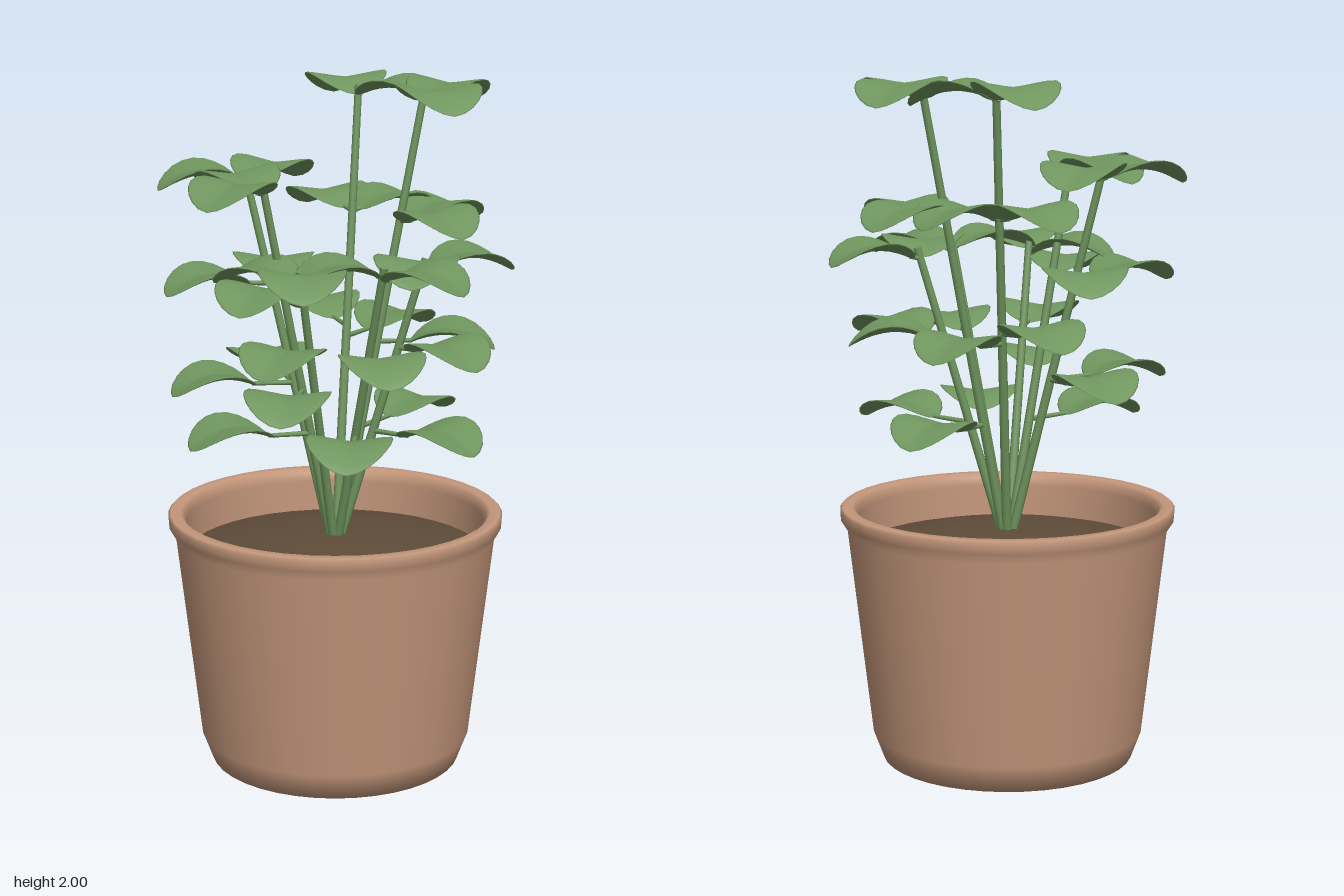
import * as THREE from 'three';

const material = (name, color) => {
  const m = new THREE.MeshStandardMaterial({ color });
  m.name = name;
  return m;
};
const clay = material('terracotta', 0xc4977b);
const earth = material('soil brown', 0x5f4c39);
const green = material('leaf green', 0x6f955e);

function lathe(name, points, mat) {
  const geo = new THREE.LatheGeometry(points.map(([r, y]) => new THREE.Vector2(r, y)), 40);
  const mesh = new THREE.Mesh(geo, mat);
  mesh.name = name;
  return mesh;
}

// Tapered round rod between two points
function rod(name, a, b, r0, r1) {
  const dir = b.clone().sub(a);
  const mesh = new THREE.Mesh(new THREE.CylinderGeometry(r1, r0, dir.length(), 8), green);
  mesh.position.copy(a).add(b).multiplyScalar(0.5);
  mesh.quaternion.setFromUnitVectors(new THREE.Vector3(0, 1, 0), dir.normalize());
  mesh.name = name;
  return mesh;
}

// Saddle-shaped leaf: arched from base to tip, sides lifted from the midrib
const HALF = 0.125;
const leafRise = (u, v) => 0.042 * (1 - v * v) + 0.024 * Math.abs(u) ** 1.3 - 0.008 * (v + 1);
function leafGeometry() {
  const geo = new THREE.SphereGeometry(1, 24, 14);
  const p = geo.attributes.position;
  for (let i = 0; i < p.count; i++) {
    const u = p.getX(i), v = p.getZ(i);
    p.setXYZ(i, u * 0.122, p.getY(i) * 0.008 + leafRise(u, v), v * HALF);
  }
  geo.computeVertexNormals();
  return geo;
}

// Each stem: tip position, then leaves as [node height, centre x, centre z]
const STEMS = [
  { tip: [0.025, 1.97, -0.28], leaves: [
    [1.94, -0.03, -0.39], [1.94, 0.145, -0.24], [1.61, -0.08, -0.34], [1.61, 0.13, -0.3],
    [1.28, -0.1, -0.33], [1.25, 0.13, -0.33]] },
  { tip: [0.235, 1.97, -0.15], leaves: [
    [1.94, 0.29, -0.265], [1.94, 0.29, -0.03], [1.6, 0.29, 0.01], [1.6, 0.28, -0.23],
    [1.25, 0.33, -0.08], [1.0, 0.2, -0.27]] },
  { tip: [-0.27, 1.73, -0.055], leaves: [
    [1.71, -0.39, 0], [1.71, -0.215, -0.18], [1.42, -0.22, -0.22], [1.42, -0.36, 0.07],
    [1.13, -0.25, -0.25], [1.13, -0.34, 0.09]] },
  { tip: [-0.18, 1.74, 0.165], leaves: [
    [1.71, -0.27, 0.065], [1.71, -0.235, 0.3], [1.42, -0.17, 0.28],
    [1.13, -0.08, 0.34], [1.0, -0.27, 0.19]] },
  { tip: [-0.06, 1.51, 0.25], leaves: [
    [1.48, -0.03, 0.385], [1.47, -0.19, 0.2], [1.26, -0.09, 0.35]] },
  { tip: [0.17, 1.52, 0.21], leaves: [
    [1.48, 0.29, 0.26], [1.49, 0.045, 0.26], [1.24, 0.18, 0.32], [1.0, 0.09, 0.32]] },
  { tip: [0.26, 1.51, 0], leaves: [
    [1.48, 0.385, -0.065], [1.48, 0.25, 0.12], [1.25, 0.34, 0.14], [1.0, 0.32, 0.13]] },
];

export function createModel() {
  const model = new THREE.Group();
  model.name = 'pottedPlant';

  // Pot with chamfered foot, rounded rim and hollow inside
  model.add(lathe('pot', [
    [0, 0], [0.37, 0], [0.4, 0.08], [0.47, 0.69], [0.489, 0.72],
    [0.491, 0.75], [0.484, 0.757], [0.455, 0.757], [0.443, 0.745], [0.44, 0.72],
    [0.44, 0.59],
  ], clay));

  // Slightly mounded soil
  const mound = [];
  for (let i = 0; i <= 6; i++) {
    const t = 1 - i / 6;
    mound.push([0.442 * t, 0.625 + 0.06 * (1 - t * t)]);
  }
  model.add(lathe('soil', mound, earth));

  // Stems fan out from the middle, each carrying its leaves
  const leafGeo = leafGeometry();
  STEMS.forEach(({ tip, leaves }, i) => {
    const branch = new THREE.Group();
    branch.name = 'branch' + (i + 1);
    const angle = Math.atan2(tip[0], tip[2]);
    const root = new THREE.Vector3(0.012 * Math.sin(angle), 0.66, 0.012 * Math.cos(angle));
    const end = new THREE.Vector3(...tip);
    branch.add(rod('stem', root, end, 0.014, 0.011));

    for (const [y, x, z] of leaves) {
      const node = root.clone().lerp(end, (y - root.y) / (end.y - root.y));
      const dx = x - node.x, dz = z - node.z, dist = Math.hypot(dx, dz);
      const leaf = new THREE.Mesh(leafGeo, green);
      leaf.position.set(x, y, z);
      leaf.rotation.y = Math.atan2(dx, dz);
      leaf.name = 'leaf';
      branch.add(leaf);

      // Short stalk where the leaf stands clear of the stem
      if (dist > HALF) {
        const k = (dist - HALF * 0.92) / dist;
        const joint = new THREE.Vector3(node.x + dx * k, y + leafRise(0, -0.92), node.z + dz * k);
        branch.add(rod('leafStalk', node, joint, 0.008, 0.006));
      }
    }
    model.add(branch);
  });

  return model;
}
